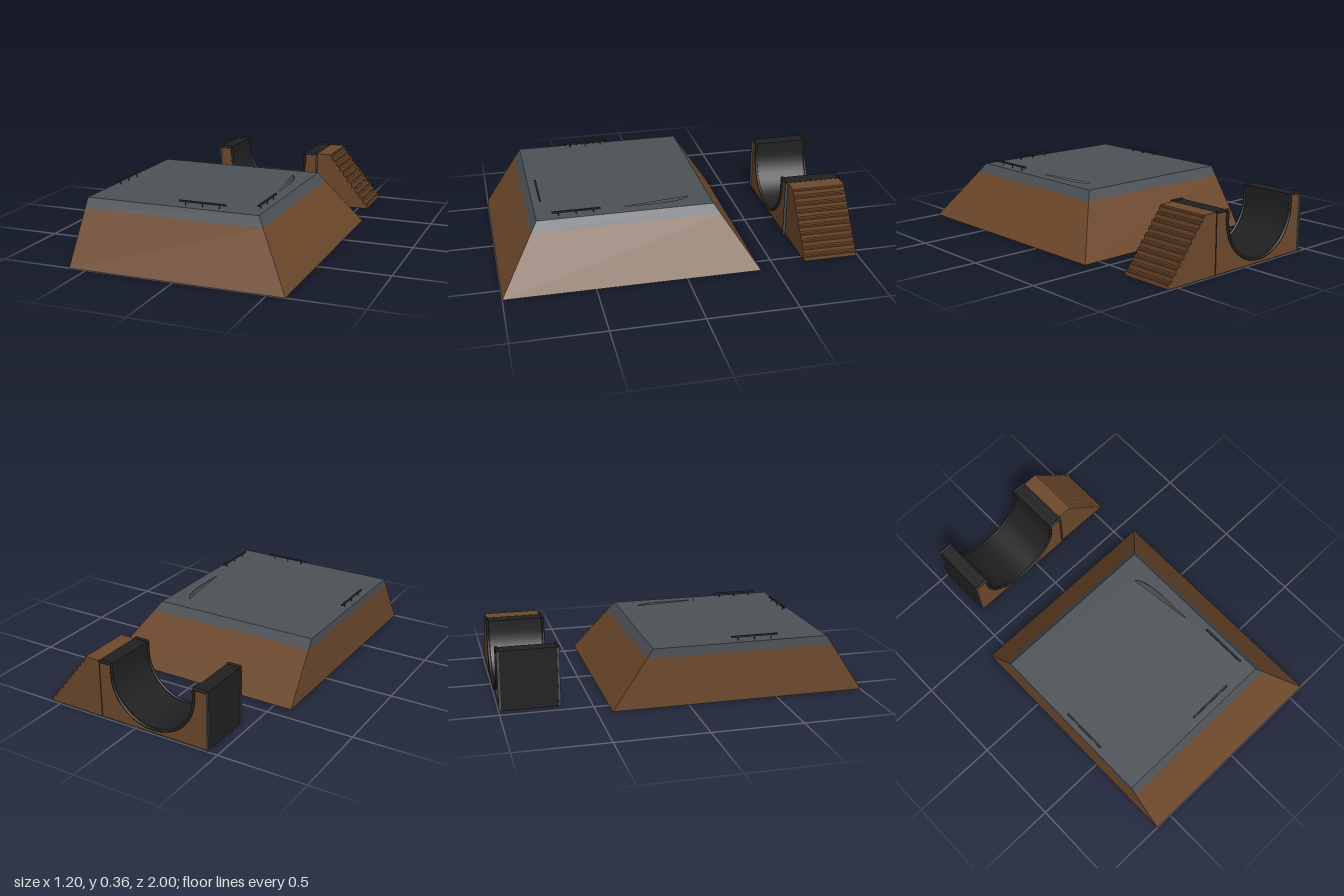
import * as THREE from 'three';
import { toCreasedNormals } from 'three/addons/utils/BufferGeometryUtils.js';

function material(name, color, side = THREE.DoubleSide) {
  const m = new THREE.MeshStandardMaterial({ color, side });
  m.name = name;
  return m;
}

// Surface from a list of four-cornered faces, smoothed below the crease angle
function quads(list, crease = 0.5) {
  const pos = [];
  for (const [a, b, c, d] of list) for (const p of [a, b, c, a, c, d]) pos.push(...p);
  const g = new THREE.BufferGeometry();
  g.setAttribute('position', new THREE.Float32BufferAttribute(pos, 3));
  return toCreasedNormals(g, crease);
}

export function createModel() {
  const wood = material('brown wood', 0x6d482b);
  const slate = material('slate concrete', 0x4c5156);
  const black = material('black ramp sheet', 0x202020);
  const metal = material('dark rail metal', 0x2a2d30);

  const model = new THREE.Group();
  model.name = 'skatePark';
  const add = (parent, name, geometry, mat, x = 0, y = 0, z = 0) => {
    const m = new THREE.Mesh(geometry, mat);
    m.name = name;
    m.position.set(x, y, z);
    parent.add(m);
    return m;
  };

  // Raised platform: one upright side, three sloping sides, open below
  const platform = new THREE.Group();
  platform.name = 'platform';
  model.add(platform);
  const H = 0.33;
  const ring = (y) => {
    const t = (y / H) * 0.22;
    const x1 = 0.597 - t, z0 = -0.417 + t, z1 = 1 - t;
    return [[-0.6, y, z1], [x1, y, z1], [x1, y, z0], [-0.6, y, z0]];
  };
  const band = (y0, y1) => {
    const a = ring(y0), b = ring(y1);
    return quads(a.map((p, i) => [p, a[(i + 1) % 4], b[(i + 1) % 4], b[i]]), 0.1);
  };
  add(platform, 'slopingWalls', band(0, 0.278), wood);
  add(platform, 'deckEdge', band(0.278, H), slate);

  // Flat deck with a narrow curved opening beside the bowl rim
  const deck = new THREE.Shape(ring(H).map(([x, , z]) => new THREE.Vector2(x, -z)));
  const slit = new THREE.Path();
  slit.moveTo(0.31, -0.3);
  slit.lineTo(0.26, 0.08);
  slit.bezierCurveTo(0.29, 0.06, 0.31, -0.02, 0.31, -0.12);
  slit.closePath();
  deck.holes.push(slit);
  add(platform, 'deck', new THREE.ShapeGeometry(deck, 10).rotateX(-Math.PI / 2).translate(0, H, 0), slate);

  // Full, rounded bowl below the deck: shallow at the back, deep at the front
  const N = 64, K = 18;
  const bowlPoint = (i, k) => {
    const a = (i / N) * Math.PI * 2, f = (k / K) * (Math.PI / 2) * 0.9999;
    const c = Math.cos(a), s = Math.sin(a);
    const r = Math.pow(c ** 4 + s ** 4, -0.25);
    const dent = 1 - 0.16 * Math.exp(-(((a - Math.PI * 1.25) / 0.5) ** 2));
    const q = r * dent * Math.pow(Math.cos(f), 0.45);
    const z = 0.27 + 0.44 * q * s;
    const depth = 0.19 + 0.09 * THREE.MathUtils.smoothstep(z, 0, 0.45);
    return [-0.1 + 0.425 * q * c, H - 0.002 - depth * Math.sin(f), z];
  };
  const bowlFaces = [];
  for (let k = 0; k < K; k++) for (let i = 0; i < N; i++) {
    bowlFaces.push([bowlPoint(i, k), bowlPoint(i + 1, k), bowlPoint(i + 1, k + 1), bowlPoint(i, k + 1)]);
  }
  add(platform, 'bowl', quads(bowlFaces, 1.4), slate);

  // Three low grind rails on short posts
  const rail = (name, x, z, turn) => {
    const g = new THREE.Group();
    g.name = name;
    add(g, 'railBar', new THREE.BoxGeometry(0.264, 0.009, 0.01), metal, 0, 0.352, 0);
    for (const px of [-0.095, 0, 0.095]) {
      add(g, 'railPost', new THREE.CylinderGeometry(0.0025, 0.0025, 0.02, 8), metal, px, 0.34, 0);
    }
    g.position.set(x, 0, z);
    g.rotation.y = turn;
    model.add(g);
  };
  rail('frontRail', 0.05, 0.738, 0);
  rail('leftRail', 0.34, 0.56, Math.PI / 2);
  rail('rightRail', -0.567, 0.375, Math.PI / 2);

  // Half pipe: one sheet running up, across, round the curve and down again
  const pipe = new THREE.Group();
  pipe.name = 'halfPipe';
  model.add(pipe);
  const cx = -0.11, cy = 0.275, R = 0.25, zF = -0.673, zB = -0.992;
  const path = [[-0.44, 0], [-0.44, H], [cx - R, H]];
  for (let i = 0; i <= 32; i++) {
    const a = Math.PI + (i / 32) * Math.PI;
    path.push([cx + R * Math.cos(a), cy + R * Math.sin(a)]);
  }
  path.push([cx + R, H], [0.22, H], [0.22, 0]);
  const sheet = path.slice(1).map(([x, y], i) => {
    const [u, v] = path[i];
    return [[u, v, zF], [x, y, zF], [x, y, zB], [u, v, zB]];
  });
  add(pipe, 'rampSheet', quads(sheet), black);
  const side = new THREE.Shape(path.map(([x, y]) => new THREE.Vector2(x, y)));
  for (const [z, turned] of [[zF - 0.004, false], [zB + 0.004, true]]) {
    const g = new THREE.ShapeGeometry(side);
    if (turned) g.rotateY(Math.PI).translate(2 * cx, 0, 0);
    add(pipe, 'sidePanel', g, wood, 0, 0, z);
  }

  // Raised trim along both edges of the sheet
  for (const z of [zF, zB]) {
    const line = new THREE.CurvePath();
    const top = path.slice(1, -1);
    for (let i = 1; i < top.length; i++) {
      line.add(new THREE.LineCurve3(new THREE.Vector3(...top[i - 1], z), new THREE.Vector3(...top[i], z)));
    }
    add(pipe, 'edgeTrim', new THREE.TubeGeometry(line, 120, 0.008, 8), black);
  }

  // Upright trims at the ends of the sheet
  for (const [x, z] of [[-0.44, zF], [-0.44, zB], [0.22, zF]]) {
    add(pipe, 'uprightTrim', new THREE.BoxGeometry(0.008, H, 0.012), slate, x, H / 2, z);
  }

  // Staircase with a small ledge along the front of every tread
  const steps = 10, rise = H / steps, run = 0.0263;
  const stair = new THREE.Shape();
  stair.moveTo(0.222, 0);
  stair.lineTo(0.222, H);
  for (let i = 0; i < steps; i++) {
    const x = 0.31 + i * run, y = H - i * rise;
    stair.lineTo(x, y);
    stair.lineTo(x, y - 0.01);
    stair.lineTo(x + 0.009, y - 0.01);
    stair.lineTo(x + 0.009, y - rise);
  }
  stair.closePath();
  add(model, 'staircase', new THREE.ExtrudeGeometry(stair, { depth: 0.308, bevelEnabled: false }), wood, 0, 0, -0.99);

  return model;
}
